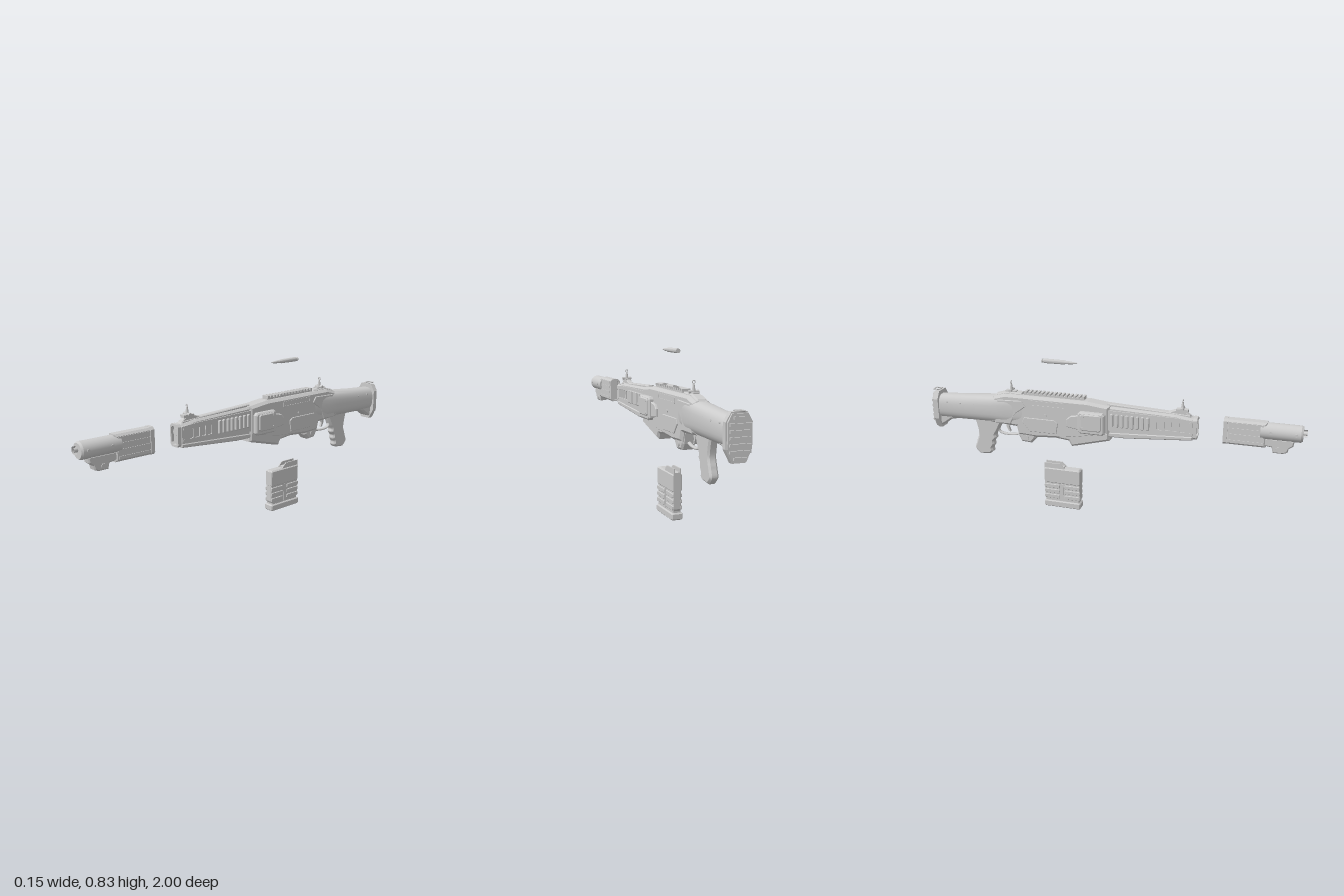
import * as THREE from 'three';
import { toCreasedNormals } from 'three/addons/utils/BufferGeometryUtils.js';

const grey = new THREE.MeshStandardMaterial({ color: 0xcccccc });
const shapeOf = pts => new THREE.Shape(pts.map(p => new THREE.Vector2(...p)));
const rect = (a0, a1, b0, b1, c = 0) => c
  ? [[a0 + c, b0], [a1 - c, b0], [a1, b0 + c], [a1, b1 - c], [a1 - c, b1], [a0 + c, b1], [a0, b1 - c], [a0, b0 + c]]
  : [[a0, b0], [a1, b0], [a1, b1], [a0, b1]];

// Closed body lofted along z; section = [z, centreY, halfWidth, halfHeight, squareness]
function loft(sections, n = 28) {
  const pos = [], idx = [];
  for (const [z, cy, hw, hh, e] of sections) for (let i = 0; i < n; i++) {
    const a = i / n * Math.PI * 2, c = Math.cos(a), s = Math.sin(a);
    pos.push(hw * Math.sign(c) * Math.abs(c) ** (2 / e), cy + hh * Math.sign(s) * Math.abs(s) ** (2 / e), z);
  }
  const last = sections.length - 1;
  for (let k = 0; k < last; k++) for (let i = 0; i < n; i++) {
    const j = (i + 1) % n, a = k * n + i, b = k * n + j;
    idx.push(a, a + n, b, b, a + n, b + n);
  }
  for (let i = 1; i < n - 1; i++) idx.push(0, i, i + 1, last * n, last * n + i + 1, last * n + i);
  const g = new THREE.BufferGeometry();
  g.setAttribute('position', new THREE.Float32BufferAttribute(pos, 3));
  g.setIndex(idx);
  return toCreasedNormals(g, 0.6);
}

export function createModel() {
  const model = new THREE.Group();
  let target = model;
  const section = name => { target = new THREE.Group(); target.name = name; model.add(target); };
  const add = (name, geo, x = 0, y = 0, z = 0) => {
    const m = new THREE.Mesh(geo, grey);
    m.name = name; m.position.set(x, y, z); target.add(m);
    return m;
  };
  const box = (name, w, h, d, x, y, z) => add(name, new THREE.BoxGeometry(w, h, d), x, y, z);
  // Side outline [z, y] extruded across x, with chamfered edges and optional holes
  const slab = (name, pts, hw, bevel = 0, x = 0, holes = []) => {
    const s = Array.isArray(pts) ? shapeOf(pts) : pts;
    s.holes = holes.map(h => new THREE.Path(h.map(p => new THREE.Vector2(...p))));
    const depth = 2 * (hw - bevel);
    const g = new THREE.ExtrudeGeometry(s, { depth, bevelEnabled: bevel > 0, bevelSize: bevel,
      bevelThickness: bevel, bevelOffset: -bevel, bevelSegments: 1 });
    g.translate(0, 0, -depth / 2).rotateY(-Math.PI / 2);
    return add(name, g, x);
  };
  // Outline [x, y] extruded along z
  const plate = (name, pts, z0, z1, holes = []) => {
    const s = shapeOf(pts);
    s.holes = holes.map(h => new THREE.Path(h.map(p => new THREE.Vector2(...p))));
    return add(name, new THREE.ExtrudeGeometry(s, { depth: z1 - z0, bevelEnabled: false }), 0, 0, z0);
  };
  const rodZ = (name, r0, r1, z0, z1, y, x = 0, n = 24) =>
    add(name, new THREE.CylinderGeometry(r1, r0, z1 - z0, n).rotateX(Math.PI / 2), x, y, (z0 + z1) / 2);
  const rodX = (name, r, len, x, y, z, n = 16) =>
    add(name, new THREE.CylinderGeometry(r, r, len, n).rotateZ(Math.PI / 2), x, y, z);
  const sides = fn => [-1, 1].forEach(fn);

  // Detached muzzle unit
  section('muzzleUnit');
  rodZ('muzzleTube', 0.042, 0.042, 0.78, 0.972, 0.562, 0, 32);
  rodZ('muzzleChamfer', 0.042, 0.036, 0.972, 0.982, 0.562, 0, 32);
  add('muzzleTip', new THREE.LatheGeometry([[0, -0.02], [0.01, -0.02], [0.01, 0.018], [0.018, 0.018], [0.018, -0.02]]
    .map(p => new THREE.Vector2(...p)), 24).rotateX(Math.PI / 2), 0, 0.567, 0.982);
  slab('muzzleShroud', rect(0.615, 0.81, 0.48, 0.608), 0.029, 0.01);
  plate('shroudRim', rect(-0.029, 0.029, 0.478, 0.61, 0.012), 0.6, 0.62, [rect(-0.021, 0.021, 0.488, 0.6, 0.009)]);
  sides(s => {
    for (const y of [0.5, 0.532, 0.562, 0.59]) box('shroudRib', 0.006, 0.012, 0.17, s * 0.029, y, 0.71);
    for (const z of [0.83, 0.95]) rodX('muzzleBolt', 0.008, 0.008, s * 0.04, 0.565, z, 12);
  });
  slab('muzzleUnderblock', [[0.945, 0.53], [0.94, 0.5], [0.92, 0.485], [0.915, 0.465], [0.895, 0.457],
    [0.845, 0.457], [0.838, 0.485], [0.8, 0.49], [0.79, 0.53]], 0.024, 0.006);
  rodX('underblockPin', 0.013, 0.056, 0, 0.477, 0.87);

  // Handguard
  section('handguard');
  slab('handguardBody', [[0.455, 0.485], [0.455, 0.592], [0.36, 0.605], [0, 0.615], [0, 0.46], [0.1, 0.457]], 0.032, 0.01);
  plate('frontRim', rect(-0.032, 0.032, 0.483, 0.596, 0.012), 0.45, 0.47, [rect(-0.023, 0.023, 0.494, 0.585, 0.01)]);
  rodZ('boreRing', 0.018, 0.018, 0.45, 0.462, 0.555);
  slab('lowerRail', [[0.45, 0.48], [0.45, 0.5], [0, 0.475], [0, 0.452], [0.1, 0.452]], 0.036, 0.005);
  slab('topStrip', [[0.44, 0.59], [0.43, 0.606], [0.33, 0.612], [0, 0.627], [0, 0.6]], 0.017, 0.004);
  sides(s => {
    // Windowed side skin, then the row of grip ribs
    const windows = [0, 1, 2, 3].map(i => rect(0.268 + i * 0.038, 0.298 + i * 0.038, 0.52, 0.572, 0.005));
    slab('sideSkin', [[0.45, 0.508], [0.45, 0.585], [0.36, 0.592], [0.0, 0.597], [0.0, 0.487]], 0.004, 0, s * 0.034, windows);
    for (let i = 0; i < 8; i++)
      slab('gripRib', rect(0.025 + i * 0.027, 0.041 + i * 0.027, 0.512, 0.582, 0.004), 0.008, 0.003, s * 0.041);
    for (const y of [0.515, 0.57]) rodX('frontBolt', 0.007, 0.008, s * 0.037, y, 0.438, 12);
  });

  // Folding sights
  section('sights');
  const sight = (name, z, y, h) => {
    box(name + 'Foot', 0.03, 0.014, 0.06, 0, y, z);
    add(name + 'Post', new THREE.CylinderGeometry(0.004, 0.011, h, 8), 0, y + h / 2, z);
    add(name + 'Ring', new THREE.TorusGeometry(0.007, 0.0022, 8, 20), 0, y + h + 0.006, z);
    rodX(name + 'Pivot', 0.008, 0.05, 0, y + 0.008, z, 12);
  };
  slab('frontSightRamp', [[0.44, 0.595], [0.41, 0.62], [0.385, 0.632], [0.355, 0.626], [0.32, 0.612], [0.26, 0.612], [0.26, 0.6]], 0.014, 0.004);
  sight('frontSight', 0.39, 0.625, 0.043);
  sight('rearSight', -0.535, 0.638, 0.046);

  // Receiver
  section('receiver');
  slab('receiverBody', [[0.02, 0.46], [0.02, 0.618], [-0.1, 0.632], [-0.56, 0.632], [-0.63, 0.612], [-0.65, 0.465],
    [-0.5, 0.455], [-0.49, 0.41], [-0.39, 0.405], [-0.28, 0.413], [-0.18, 0.42]], 0.044, 0.014);
  slab('magazineHousing', [[0.02, 0.43], [0.02, 0.48], [-0.3, 0.48], [-0.28, 0.413], [-0.205, 0.405], [-0.19, 0.376], [-0.17, 0.38]], 0.042, 0.012);
  slab('magazineCatch', [[-0.39, 0.45], [-0.395, 0.395], [-0.42, 0.366], [-0.475, 0.37], [-0.492, 0.4], [-0.5, 0.45]], 0.034, 0.01);
  sides(s => {
    // Protruding side housing
    slab('sideHousing', rect(-0.145, 0.0, 0.465, 0.583, 0.012), 0.018, 0.007, s * 0.05);
    slab('sideHousingCover', rect(-0.13, -0.015, 0.485, 0.575, 0.01), 0.008, 0.005, s * 0.067);
    slab('housingTail', [[-0.14, 0.48], [-0.14, 0.56], [-0.19, 0.55], [-0.21, 0.53], [-0.21, 0.49]], 0.009, 0.004, s * 0.048);
    for (const y of [0.5, 0.56]) rodX('housingBolt', 0.007, 0.006, s * 0.074, y, -0.115, 12);
    // Raised panels and the slot frame
    slab('slotFrame', rect(-0.425, -0.215, 0.58, 0.612, 0.004), 0.004, 0, s * 0.043, [rect(-0.415, -0.225, 0.588, 0.604)]);
    slab('lowerPanel', [[-0.27, 0.44], [-0.26, 0.5], [-0.28, 0.515], [-0.45, 0.515], [-0.46, 0.49], [-0.42, 0.44]], 0.004, 0.002, s * 0.045);
    slab('rearPanel', [[-0.46, 0.605], [-0.44, 0.575], [-0.5, 0.53], [-0.53, 0.47], [-0.62, 0.47], [-0.6, 0.6]], 0.005, 0.003, s * 0.044);
    rodX('catchPin', 0.012, 0.008, s * 0.034, 0.395, -0.445);
    for (const z of [-0.33, -0.52]) rodX('receiverPin', 0.007, 0.006, s * 0.045, 0.535, z, 12);
  });
  // Toothed top rail
  box('railBase', 0.04, 0.014, 0.335, 0, 0.634, -0.288);
  for (let i = 0; i < 15; i++) box('railTooth', 0.044, 0.012, 0.013, 0, 0.645, -0.128 - i * 0.0228);
  slab('rearTopCap', [[-0.46, 0.62], [-0.47, 0.64], [-0.56, 0.64], [-0.62, 0.622], [-0.64, 0.6]], 0.024, 0.006);

  // Trigger group and grip
  section('triggerAndGrip');
  const guard = new THREE.CatmullRomCurve3([[0.408, -0.485], [0.396, -0.52], [0.394, -0.59], [0.405, -0.617], [0.44, -0.625]]
    .map(([y, z]) => new THREE.Vector3(0, y, z)));
  add('triggerGuard', new THREE.TubeGeometry(guard, 24, 0.006, 8)).scale.x = 1.8;
  slab('trigger', [[-0.55, 0.465], [-0.558, 0.435], [-0.55, 0.41], [-0.56, 0.41], [-0.572, 0.435], [-0.572, 0.465]], 0.007);
  const grip = new THREE.Shape();
  grip.moveTo(-0.595, 0.465);
  grip.splineThru([[-0.622, 0.41], [-0.637, 0.385], [-0.634, 0.366], [-0.65, 0.345], [-0.648, 0.325], [-0.66, 0.305], [-0.658, 0.285], [-0.675, 0.27]]
    .map(p => new THREE.Vector2(...p)));
  grip.lineTo(-0.735, 0.264);
  grip.splineThru([[-0.762, 0.295], [-0.75, 0.34], [-0.737, 0.39], [-0.755, 0.475]].map(p => new THREE.Vector2(...p)));
  slab('grip', grip, 0.022, 0.009);

  // Shoulder stock
  section('stock');
  add('stockTube', loft([[-0.44, 0.548, 0.042, 0.07, 4], [-0.56, 0.541, 0.054, 0.076, 3.2], [-0.64, 0.538, 0.056, 0.074, 2.8],
    [-0.8, 0.529, 0.053, 0.07, 2.6], [-0.955, 0.523, 0.051, 0.066, 2.6]]));
  slab('stockHeel', [[-0.8, 0.5], [-0.84, 0.463], [-0.885, 0.456], [-0.93, 0.425], [-0.96, 0.412], [-0.96, 0.5]], 0.036, 0.01);
  const butt = k => [[-0.03, 0.402 + k], [0.03, 0.402 + k], [0.06 - k, 0.46], [0.06 - k, 0.57], [0.036, 0.61 - k],
    [-0.036, 0.61 - k], [-0.06 + k, 0.57], [-0.06 + k, 0.46]];
  plate('buttPlate', butt(0), -0.975, -0.95);
  plate('buttPad', butt(0.006), -0.984, -0.97);
  for (let i = 0; i < 7; i++)
    box('buttRidge', i === 0 || i === 6 ? 0.06 : 0.095, 0.012, 0.012, 0, 0.422 + i * 0.0275, -0.986);
  const loop = add('slingLoop', new THREE.TorusGeometry(0.024, 0.003, 8, 4), 0, 0.614, -0.976);
  loop.geometry.rotateZ(Math.PI / 4).rotateX(Math.PI / 2);
  sides(s => [-0.66, -0.74, -0.82, -0.9].forEach(z => rodX('stockRivet', 0.005, 0.006, s * 0.049, 0.557, z, 10)));

  // Detached magazine
  section('magazine');
  slab('magazineBody', [[-0.158, 0.02], [-0.158, 0.045], [-0.152, 0.055], [-0.152, 0.225], [-0.16, 0.23], [-0.355, 0.23],
    [-0.355, 0.055], [-0.35, 0.045], [-0.35, 0.02]], 0.021, 0.004);
  slab('magazineTop', rect(-0.355, -0.151, 0.142, 0.228, 0.005), 0.025, 0.004);
  slab('magazineBase', rect(-0.358, -0.15, 0, 0.036, 0.006), 0.029, 0.005);
  for (const y of [0.062, 0.093, 0.123]) sides(s => [[-0.24, -0.152], [-0.355, -0.268]].forEach(([a, b]) =>
    slab('magazineRib', rect(a, b, y - 0.011, y + 0.011, 0.004), 0.004, 0.002, s * 0.022)));
  sides(s => {
    box('magazineSpine', 0.004, 0.1, 0.012, s * 0.022, 0.09, -0.254);
    slab('feedLip', [[-0.235, 0.225], [-0.25, 0.243], [-0.265, 0.256], [-0.355, 0.256], [-0.355, 0.225]], 0.003, 0, s * 0.016);
  });
  box('follower', 0.028, 0.006, 0.11, 0, 0.233, -0.3);

  // Detached cartridge
  section('cartridge');
  add('cartridgeBody', toCreasedNormals(new THREE.LatheGeometry([[0, -0.355], [0.011, -0.355], [0.011, -0.35], [0.009, -0.348],
    [0.009, -0.344], [0.012, -0.34], [0.011, -0.235], [0.008, -0.222], [0.008, -0.21], [0.006, -0.185], [0.003, -0.167], [0, -0.16]]
    .map(p => new THREE.Vector2(...p)), 20).rotateX(Math.PI / 2), 0.5), 0, 0.821, 0);

  return model;
}
